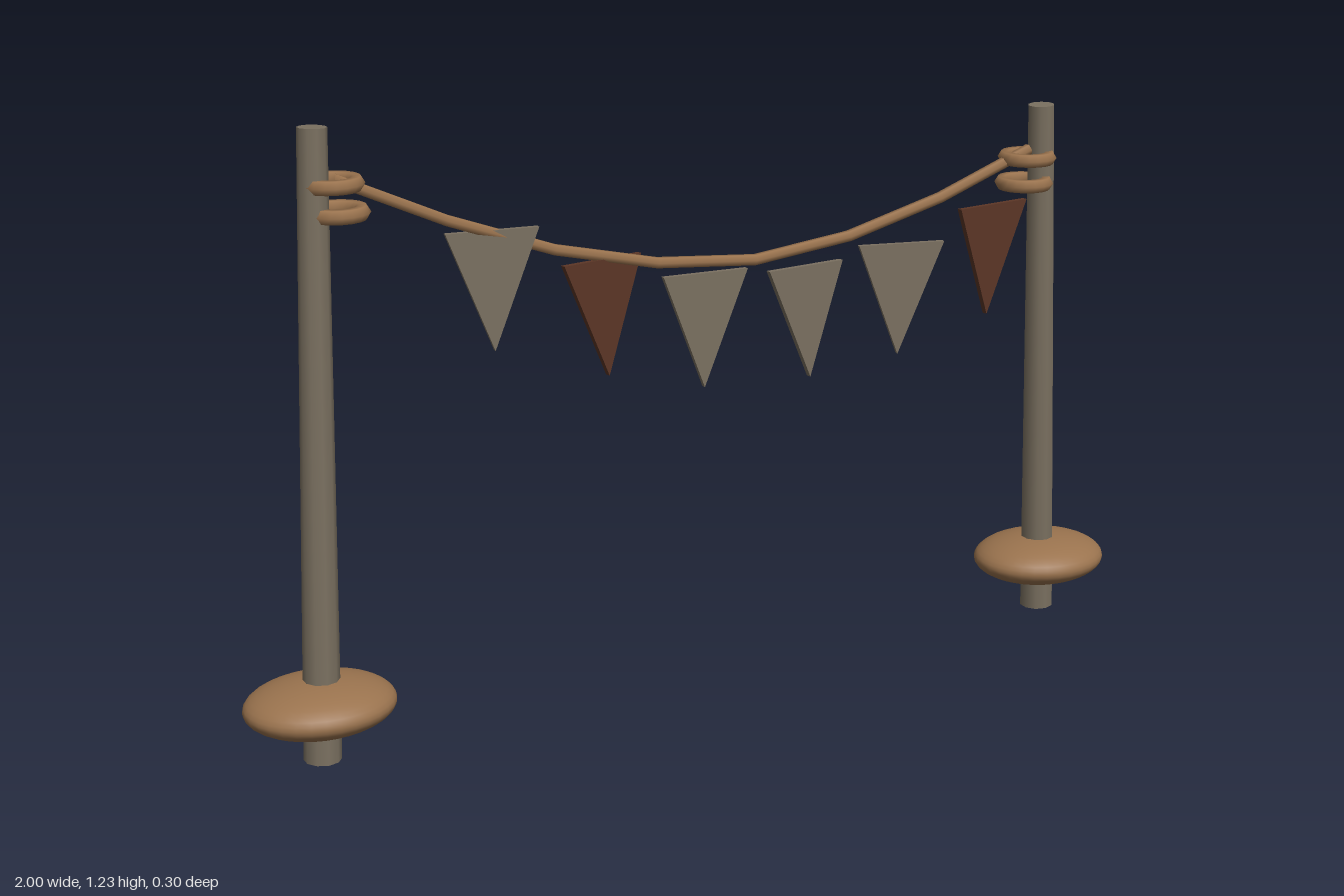
import * as THREE from 'three';

const wood = new THREE.MeshStandardMaterial({ name: 'weathered grey wood', color: 0x7a7060 });
const tan = new THREE.MeshStandardMaterial({ name: 'tan rope and clay', color: 0x9a734e });
const rust = new THREE.MeshStandardMaterial({ name: 'rust brown cloth', color: 0x5c3626 });
const V = (x, y, z) => new THREE.Vector3(x, y, z);

function add(parent, name, geometry, material) {
  const mesh = new THREE.Mesh(geometry, material);
  mesh.name = name;
  parent.add(mesh);
  return mesh;
}

// Leaning tapered pole with a flattened mound and two loose rope rings
function makePost(name, foot, top, rings) {
  const post = new THREE.Group();
  post.name = name;
  const axis = top.clone().sub(foot);
  const pole = add(post, 'pole', new THREE.CylinderGeometry(0.028, 0.037, axis.length(), 10), wood);
  pole.position.copy(foot).addScaledVector(axis, 0.5);
  pole.quaternion.setFromUnitVectors(V(0, 1, 0), axis.clone().normalize());

  const mound = add(post, 'baseMound', new THREE.SphereGeometry(1, 32, 20), tan);
  mound.scale.set(0.15, 0.052, 0.128);
  mound.position.set(foot.x, 0.116, foot.z);

  for (const [x, y] of rings) {
    const ring = add(post, 'ropeRing', new THREE.TorusGeometry(0.047, 0.015, 6, 18), tan);
    ring.rotation.x = Math.PI / 2;
    ring.position.set(x, y, 0);
  }
  return post;
}

// Sagging rope: straight tube segments with shared joints
function ropeGeometry(points, radius) {
  const path = new THREE.CurvePath();
  for (let i = 1; i < points.length; i++) path.add(new THREE.LineCurve3(points[i - 1], points[i]));
  const curve = new THREE.Curve();
  curve.getPoint = (t, target = V(0, 0, 0)) => {
    const s = t * (points.length - 1);
    const i = Math.min(Math.floor(s), points.length - 2);
    return target.lerpVectors(points[i], points[i + 1], s - i);
  };
  curve.getPointAt = curve.getPoint;
  return new THREE.TubeGeometry(curve, points.length - 1, radius, 6);
}

// Triangular pennant, hung from its top edge
function pennantGeometry(tipShift) {
  const w = 0.093, h = 0.237, t = 0.012;
  const shape = new THREE.Shape([
    new THREE.Vector2(-w, 0), new THREE.Vector2(tipShift, -h), new THREE.Vector2(w, 0),
  ]);
  return new THREE.ExtrudeGeometry(shape, { depth: t, bevelEnabled: false }).translate(0, 0, -t / 2);
}

export function createModel() {
  const model = new THREE.Group();
  model.name = 'pennantLine';

  model.add(makePost('rightPost', V(-0.85, 0.001, 0.021), V(-0.807, 1.23, 0.003),
    [[-0.774, 1.123], [-0.765, 1.068]]));
  model.add(makePost('leftPost', V(0.85, 0.001, -0.021), V(0.797, 1.143, -0.002),
    [[0.764, 1.034], [0.758, 0.98]]));

  const heights = [1.13, 1.03, 0.95, 0.9, 0.882, 0.908, 0.967, 1.05];
  const joints = heights.map((y, i) => V(-0.77 + 0.22 * i, y, 0.003 - 0.006));
  add(model, 'rope', ropeGeometry(joints, 0.012), tan);

  // centre x, top y, turn, tip shift, cloth
  const pennants = [
    [-0.461, 1.003, -0.1, 0, wood],
    [-0.232, 0.921, 0.2, 0.012, rust],
    [-0.005, 0.869, -0.03, -0.003, wood],
    [0.225, 0.858, 0.13, 0.013, wood],
    [0.455, 0.88, -0.22, -0.005, wood],
    [0.68, 0.941, 0.15, -0.012, rust],
  ];
  for (const [x, y, turn, tip, cloth] of pennants) {
    const flag = add(model, 'pennant', pennantGeometry(tip), cloth);
    flag.position.set(x, y, 0);
    flag.rotation.y = turn;
  }
  return model;
}
